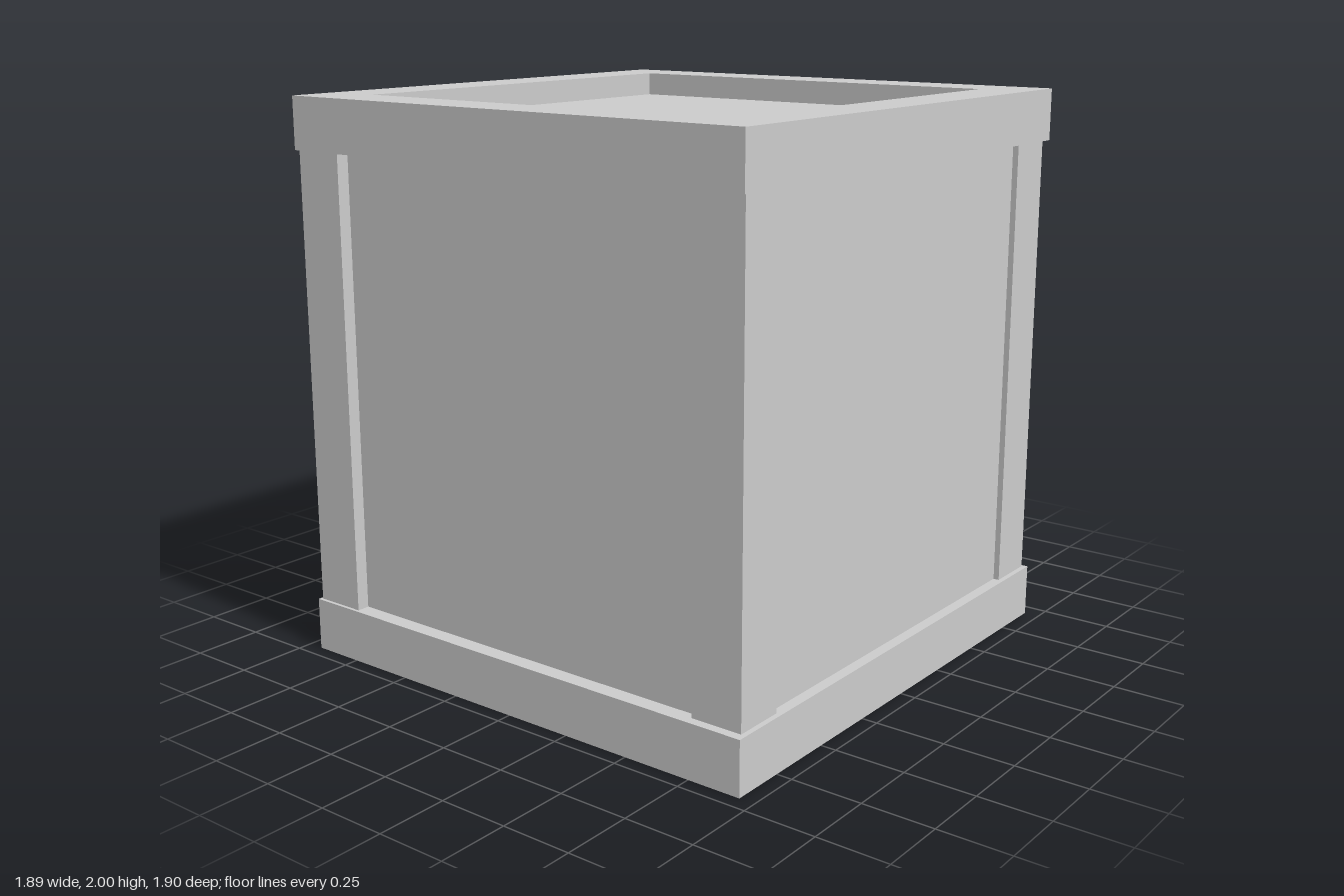
import * as THREE from 'three';

const material = new THREE.MeshStandardMaterial({ color: 0xcccccc, flatShading: true });

// Box given by its limits on each axis
function box(name, [x0, x1], [y0, y1], [z0, z1]) {
  const mesh = new THREE.Mesh(new THREE.BoxGeometry(x1 - x0, y1 - y0, z1 - z0), material);
  mesh.position.set((x0 + x1) / 2, (y0 + y1) / 2, (z0 + z1) / 2);
  mesh.name = name;
  return mesh;
}

// Square rim with a square opening, lying flat
function frame(name, size, opening, height, x, y, z) {
  const square = (Type, s) => new Type([[-1, -1], [1, -1], [1, 1], [-1, 1]]
    .map(([a, b]) => new THREE.Vector2(a * s / 2, b * s / 2)));
  const shape = square(THREE.Shape, size);
  shape.holes.push(square(THREE.Path, opening));
  const geometry = new THREE.ExtrudeGeometry(shape, { depth: height, bevelEnabled: false });
  geometry.rotateX(-Math.PI / 2);
  const mesh = new THREE.Mesh(geometry, material);
  mesh.position.set(x, y, z);
  mesh.name = name;
  return mesh;
}

export function createModel() {
  const crate = new THREE.Group();
  crate.name = 'crate';

  // Recessed panels on all six sides
  crate.add(box('panelBody', [-0.887, 0.905], [0.028, 1.915], [-0.905, 0.89]));

  // Rims, set very slightly out of line with each other
  crate.add(frame('topFrame', 1.89, 1.51, 0.185, -0.005, 1.815, -0.006));
  crate.add(frame('bottomFrame', 1.885, 1.51, 0.19, 0.002, 0, 0.005));

  // Corner posts
  const posts = [
    ['frontLeftPost', [0.74, 0.926], [0.73, 0.915]],
    ['frontRightPost', [-0.93, -0.74], [0.75, 0.936]],
    ['backLeftPost', [0.74, 0.926], [-0.925, -0.737]],
    ['backRightPost', [-0.93, -0.74], [-0.925, -0.737]],
  ];
  for (const [name, x, z] of posts) crate.add(box(name, x, [0.19, 1.815], z));

  return crate;
}
